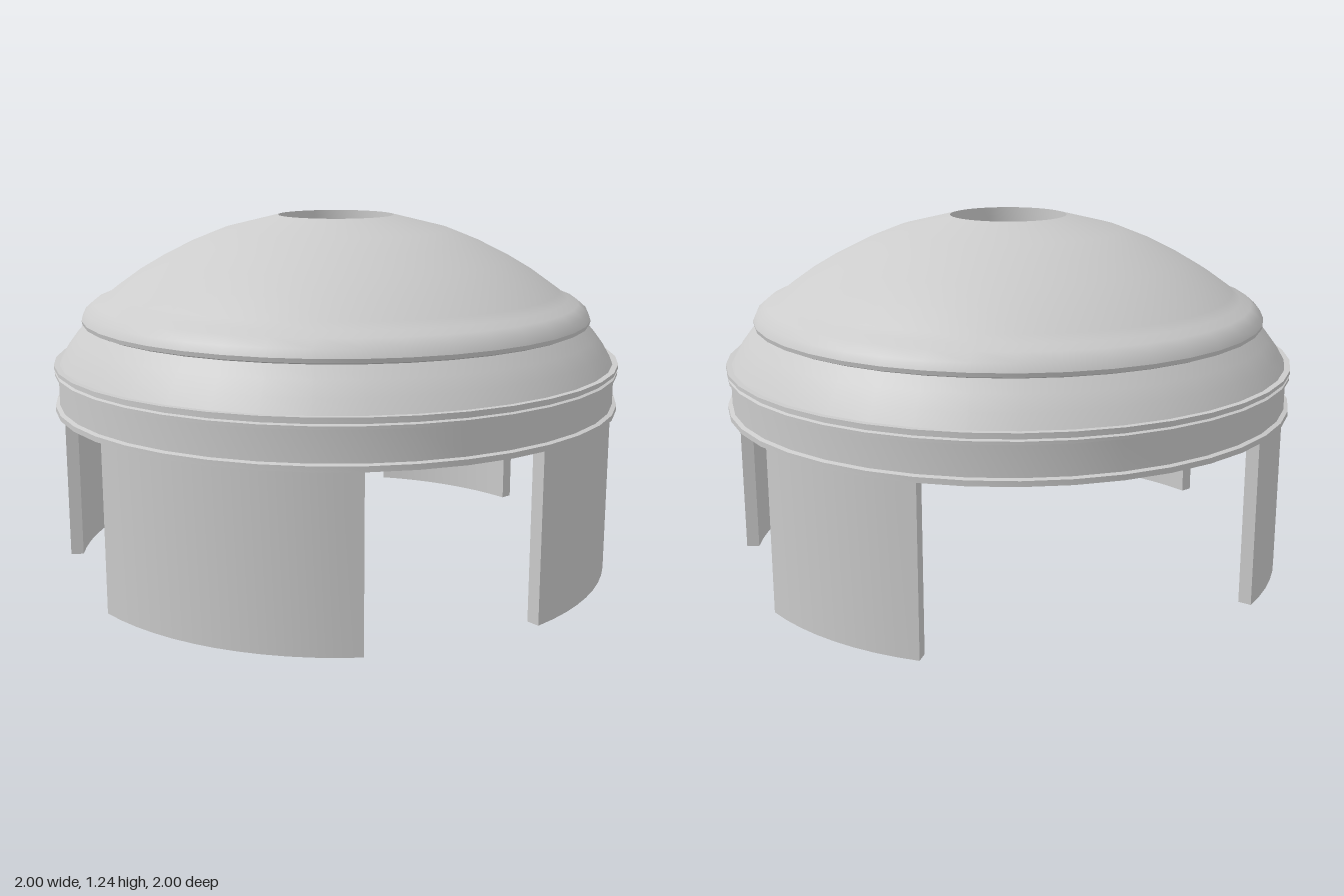
import * as THREE from 'three';
import { toCreasedNormals } from 'three/addons/utils/BufferGeometryUtils.js';

const SEGMENTS = 40;
const CREASE = 0.5;
const material = new THREE.MeshStandardMaterial({ color: 0xcccccc });

function addMesh(group, name, geometry) {
  const mesh = new THREE.Mesh(toCreasedNormals(geometry, CREASE), material);
  mesh.name = name;
  group.add(mesh);
}

// Curved leg: a ring sector between two angles (degrees), standing on y = 0
function legGeometry(from, to) {
  const a = THREE.MathUtils.degToRad(from), b = THREE.MathUtils.degToRad(to);
  const shape = new THREE.Shape();
  shape.absarc(0, 0, 0.98, a, b, false);
  shape.absarc(0, 0, 0.935, b, a, true);
  const geometry = new THREE.ExtrudeGeometry(shape, {
    depth: 0.6, bevelEnabled: false, curveSegments: Math.round((to - from) / 9),
  });
  return geometry.rotateX(-Math.PI / 2);
}

export function createModel() {
  const group = new THREE.Group();
  group.name = 'domedCap';

  // Closed shell profile: up the outside, through the top hole, down the inside
  const profile = [
    [0.935, 0.58],
    // rim band with its lower and upper lips
    [1.0, 0.58], [1.0, 0.598], [0.985, 0.602], [0.985, 0.703], [0.998, 0.706],
    [0.998, 0.716], [0.988, 0.72], [0.988, 0.726], [1.0, 0.729], [1.0, 0.742], [0.98, 0.742],
    // sloping shoulder
    [0.952, 0.79], [0.919, 0.834], [0.885, 0.873],
    // rounded bead
    [0.897, 0.878], [0.9, 0.892], [0.888, 0.918], [0.857, 0.945], [0.82, 0.96],
    // dome
    [0.79, 0.983], [0.71, 1.04], [0.62, 1.093], [0.51, 1.148], [0.4, 1.192], [0.205, 1.24],
    // hole wall and inner dome
    [0.205, 1.187], [0.4, 1.14], [0.6, 1.045], [0.76, 0.93], [0.86, 0.82], [0.915, 0.71],
    [0.935, 0.58],
  ].map(([r, y]) => new THREE.Vector2(r, y));
  addMesh(group, 'domeShell', new THREE.LatheGeometry(profile, SEGMENTS));

  // Wide front legs and narrower back legs
  addMesh(group, 'frontLeftLeg', legGeometry(-72, -18));
  addMesh(group, 'frontRightLeg', legGeometry(-162, -108));
  addMesh(group, 'backLeftLeg', legGeometry(18, 54));
  addMesh(group, 'backRightLeg', legGeometry(126, 162));

  return group;
}
